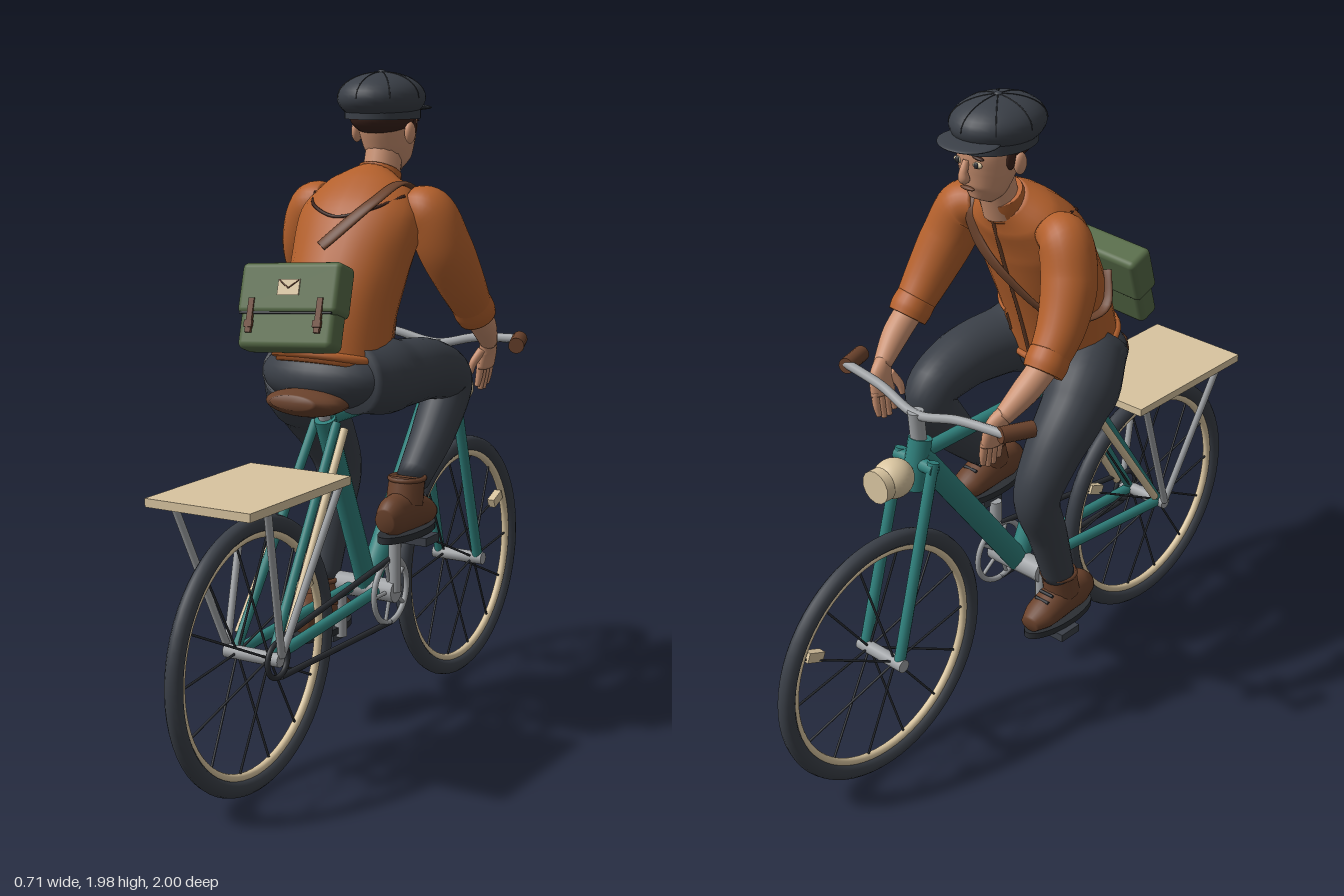
import * as THREE from 'three';
import { RoundedBoxGeometry } from 'three/addons/geometries/RoundedBoxGeometry.js';

const V = (x, y, z) => new THREE.Vector3(x, y, z);
const mat = (name, color) => Object.assign(new THREE.MeshStandardMaterial({ color }), { name });
const rad = Math.PI / 180;

// Surface of an elliptical tube through [x, y, z, radiusX, radiusDepth] rows
function tubeSurface(rows) {
  const path = new THREE.CatmullRomCurve3(rows.map(r => V(r[0], r[1], r[2])));
  const size = new THREE.CatmullRomCurve3(rows.map(r => V(r[3], r[4] ?? r[3], 0)));
  return (t, angle, off = 0) => {
    const T = path.getTangent(t), c = path.getPoint(t), s = size.getPoint(t);
    const S = V(1, 0, 0).addScaledVector(T, -T.x).normalize();
    const U = T.clone().cross(S);
    return c.addScaledVector(S, Math.cos(angle) * (s.x + off)).addScaledVector(U, Math.sin(angle) * (s.y + off));
  };
}

function sweepGeometry(rows, sides = 24, steps = rows.length * 6) {
  const at = tubeSurface(rows), pos = [], idx = [];
  for (let i = 0; i <= steps; i++)
    for (let j = 0; j < sides; j++) pos.push(...at(i / steps, j / sides * Math.PI * 2).toArray());
  const a = pos.length / 3;
  pos.push(...rows[0].slice(0, 3), ...rows[rows.length - 1].slice(0, 3));
  for (let j = 0; j < sides; j++) {
    const k = (j + 1) % sides, e = steps * sides;
    for (let i = 0; i < steps; i++) {
      const p = i * sides, q = p + sides;
      idx.push(p + j, p + k, q + k, p + j, q + k, q + j);
    }
    idx.push(a, k, j, a + 1, e + j, e + k);
  }
  const g = new THREE.BufferGeometry();
  g.setAttribute('position', new THREE.Float32BufferAttribute(pos, 3));
  g.setIndex(idx);
  g.computeVertexNormals();
  return g;
}

export function createModel() {
  const model = new THREE.Group();
  const charcoal = mat('charcoal', 0x3a3f47), teal = mat('teal', 0x2f807c), cream = mat('cream', 0xd9c5a0),
    metal = mat('metal', 0x9fa2a5), orange = mat('orange', 0xb3602c), green = mat('green', 0x566a47),
    brown = mat('brown', 0x6a422c), skin = mat('skin', 0xc99070), hair = mat('hair', 0x3a221b), black = mat('black', 0x2b2e33);

  const add = (name, geo, m, p = [0, 0, 0], parent = model) => {
    const mesh = new THREE.Mesh(geo, m);
    mesh.name = name;
    mesh.position.set(...p);
    parent.add(mesh);
    return mesh;
  };
  const group = (name, p = [0, 0, 0]) => {
    const g = new THREE.Group();
    g.name = name;
    g.position.set(...p);
    model.add(g);
    return g;
  };
  const rod = (name, a, b, r, m, parent = model, r2 = r) => {
    const A = V(...a), d = V(...b).sub(A);
    const mesh = add(name, new THREE.CylinderGeometry(r2, r, d.length(), 14), m, A.clone().addScaledVector(d, 0.5).toArray(), parent);
    mesh.quaternion.setFromUnitVectors(V(0, 1, 0), d.normalize());
    return mesh;
  };
  const box = (name, s, m, p, parent = model) => add(name, new THREE.BoxGeometry(...s), m, p, parent);
  const blob = (name, s, m, p, parent = model) => {
    const mesh = add(name, new THREE.SphereGeometry(1, 28, 20), m, p, parent);
    mesh.scale.set(...s);
    return mesh;
  };
  const ring = (name, R, r, m, p, parent = model) => {
    const mesh = add(name, new THREE.TorusGeometry(R, r, 12, 64), m, p, parent);
    mesh.rotation.y = Math.PI / 2;
    return mesh;
  };
  const sweep = (name, rows, m, parent = model) => add(name, sweepGeometry(rows), m, [0, 0, 0], parent);
  const cord = (name, pts, r, m, parent = model) =>
    add(name, new THREE.TubeGeometry(new THREE.CatmullRomCurve3(pts), 40, r, 8), m, [0, 0, 0], parent);

  // Wheels
  for (const [name, z, side] of [['rearWheel', 0.605, -1], ['frontWheel', -0.605, -1]]) {
    const w = group(name, [0, 0.4, z]);
    ring('tyre', 0.37, 0.025, charcoal, [0, 0, 0], w);
    ring('rim', 0.34, 0.012, cream, [0, 0, 0], w);
    rod('axle', [-0.09, 0, 0], [0.09, 0, 0], 0.02, metal, w);
    for (let i = 0; i < 14; i++) {
      const a = i / 14 * Math.PI * 2, c = Math.cos(a), s = Math.sin(a);
      rod('spoke', [i % 2 ? 0.05 : -0.05, s * 0.02, c * 0.02], [0, s * 0.335, c * 0.335], 0.0035, black, w);
    }
    box('reflector', [0.025, 0.03, 0.06], cream, [0, 0.135, side * 0.26], w).rotation.x = 0.4;
  }

  // Frame
  const bottom = [0, 0.44, -0.015], seatTop = [0, 1, 0.225], head = [0, 1.0, -0.435];
  rod('seatTube', bottom, seatTop, 0.032, teal);
  rod('downTube', bottom, head, 0.036, teal);
  rod('topTube', seatTop, head, 0.022, teal);
  rod('headTube', [0, 0.9, -0.46], [0, 1.05, -0.425], 0.035, teal);
  rod('seatPost', seatTop, [0, 1.05, 0.24], 0.018, metal);
  rod('bottomBracket', [-0.1, 0.44, -0.015], [0.1, 0.44, -0.015], 0.035, metal);
  rod('forkCrown', [-0.075, 0.98, -0.445], [0.075, 0.98, -0.445], 0.02, teal);
  for (const s of [-1, 1]) {
    rod('forkBlade', [s * 0.065, 1, -0.44], [s * 0.07, 0.4, -0.605], 0.017, teal);
    rod('seatStay', [s * 0.035, 0.99, 0.22], [s * 0.06, 0.4, 0.605], 0.014, teal);
    rod('creamStay', [s * 0.05, 0.97, 0.2], [s * 0.08, 0.44, 0.56], 0.012, cream);
    rod('chainStay', [s * 0.045, 0.44, 0], [s * 0.06, 0.4, 0.605], 0.017, teal);
    for (const z of [0.4, 0.76]) rod('rackStrut', [s * 0.155, 0.86, z], [s * 0.09, 0.41, 0.6], 0.011, metal);
    // Crank and pedal, right side up and left side down
    const y = s > 0 ? 0.615 : 0.27;
    rod('crank', [s * 0.095, 0.44, -0.015], [s * 0.095, y, -0.015], 0.019, metal);
    box('pedal', [0.12, 0.025, 0.08], charcoal, [s * 0.16, y, -0.02]);
  }
  box('rackDeck', [0.335, 0.024, 0.5], cream, [0, 0.866, 0.61]);

  // Drive
  ring('chainring', 0.098, 0.009, metal, [0.08, 0.44, -0.015]);
  for (let i = 0; i < 5; i++) {
    const a = i * 72 * rad;
    rod('chainringArm', [0.08, 0.44, -0.015], [0.08, 0.44 + Math.sin(a) * 0.095, -0.015 + Math.cos(a) * 0.095], 0.006, metal);
  }
  ring('sprocket', 0.05, 0.008, black, [0.08, 0.4, 0.605]);
  rod('upperChain', [0.08, 0.455, 0.59], [0.08, 0.54, -0.015], 0.009, black);
  rod('lowerChain', [0.08, 0.347, 0.59], [0.08, 0.342, -0.015], 0.009, black);

  // Saddle, handlebar and lamp
  sweep('saddle', [[0, 1.075, 0.405, 0.07, 0.02], [0, 1.065, 0.34, 0.12, 0.04], [0, 1.06, 0.24, 0.1, 0.04],
    [0, 1.06, 0.12, 0.045, 0.03], [0, 1.055, 0.05, 0.025, 0.018]], brown);
  rod('stem', [0, 1.03, -0.43], [0, 1.14, -0.44], 0.024, metal);
  cord('handlebar', [V(-0.31, 1.17, -0.41), V(-0.15, 1.16, -0.425), V(0, 1.13, -0.44), V(0.15, 1.16, -0.425), V(0.31, 1.17, -0.41)], 0.014, metal);
  for (const s of [-1, 1]) rod('grip', [s * 0.3, 1.168, -0.42], [s * 0.335, 1.162, -0.325], 0.024, brown);
  blob('lamp', [0.058, 0.058, 0.062], cream, [0, 0.965, -0.535]);
  rod('lampRim', [0, 0.965, -0.575], [0, 0.965, -0.605], 0.05, cream);
  rod('lampBracket', [0, 0.965, -0.44], [0, 0.965, -0.5], 0.016, metal);

  // Trousers and shoes
  blob('hips', [0.215, 0.1, 0.15], charcoal, [0, 1.125, 0.19]);
  sweep('rightLeg', [[0.1, 1.125, 0.24, 0.1], [0.145, 1.12, 0.07, 0.1], [0.16, 1.11, -0.1, 0.09],
    [0.157, 1.055, -0.225, 0.075], [0.15, 0.93, -0.165, 0.068], [0.145, 0.785, -0.03, 0.05]], charcoal);
  sweep('leftLeg', [[-0.1, 1.14, 0.22, 0.1], [-0.155, 1.01, 0.06, 0.1], [-0.16, 0.89, -0.05, 0.084],
    [-0.155, 0.77, -0.105, 0.07], [-0.153, 0.62, -0.055, 0.06], [-0.15, 0.45, 0.0, 0.05]], charcoal);
  for (const [s, y] of [[1, 0.635], [-1, 0.287]]) {
    const shoe = group(s > 0 ? 'rightShoe' : 'leftShoe', [s * 0.147, y, 0.005]);
    const sole = add('sole', new THREE.CylinderGeometry(1, 1, 0.02, 28), black, [0, 0.004, 0], shoe);
    sole.scale.set(0.055, 1, 0.145);
    sweep('upper', [[0, 0.06, 0.135, 0.03, 0.035], [0, 0.067, 0.09, 0.047, 0.06], [0, 0.068, 0.01, 0.052, 0.062],
      [0, 0.05, -0.08, 0.052, 0.045], [0, 0.038, -0.135, 0.03, 0.025]], brown, shoe);
    rod('shoeCollar', [0, 0.09, 0.015], [0, 0.168, 0.0], 0.056, brown, shoe, 0.054);
    const edge = add('collarEdge', new THREE.TorusGeometry(0.051, 0.008, 8, 28), brown, [0, 0.165, 0], shoe);
    edge.rotation.x = Math.PI / 2;
    for (let i = 0; i < 3; i++) rod('lace', [-0.025, 0.125 - i * 0.014, -0.035 - i * 0.02], [0.025, 0.125 - i * 0.014, -0.035 - i * 0.02], 0.005, black, shoe);
  }

  // Jacket with seams, zip and pockets
  const torso = [[0, 1.14, 0.19, 0.172, 0.15], [0, 1.28, 0.15, 0.168, 0.15], [0, 1.42, 0.09, 0.18, 0.14],
    [0, 1.54, 0.03, 0.195, 0.125], [0, 1.625, -0.035, 0.15, 0.095], [0, 1.67, -0.075, 0.068, 0.065]];
  sweep('jacket', torso, orange);
  const on = tubeSurface(torso);
  const onJacket = (list, off) => list.map(([t, deg]) => on(t, deg * rad, off));
  const hem = [];
  for (let d = 0; d <= 360; d += 20) hem.push([0.035, d]);
  cord('hemBand', onJacket(hem, 0), 0.012, orange);
  cord('yokeSeam', onJacket([[0.72, -150], [0.6, -120], [0.55, -90], [0.6, -60], [0.72, -30]], 0), 0.005, hair);
  cord('zip', onJacket([[0.02, 90], [0.3, 90], [0.6, 90], [0.95, 90]], 0), 0.006, brown);
  for (const m of [0, 1]) {
    const flip = list => list.map(([t, d]) => [t, m ? 180 - d : d]);
    cord('pocketFlap', onJacket(flip([[0.25, 35], [0.25, 50], [0.25, 65]]), 0.001), 0.007, orange);
    cord('pocketSeam', onJacket(flip([[0.24, 35], [0.13, 37], [0.13, 63], [0.24, 65]]), 0), 0.004, brown);
  }
  sweep('collar', [[0, 1.64, -0.06, 0.075, 0.07], [0, 1.665, -0.075, 0.07, 0.066], [0, 1.69, -0.088, 0.065, 0.062]], orange);

  // Arms and hands
  for (const s of [-1, 1]) {
    const m = rows => rows.map(([x, ...r]) => [s * x, ...r]);
    sweep('sleeve', m([[0.13, 1.6, -0.025, 0.055], [0.19, 1.575, -0.035, 0.078], [0.23, 1.48, -0.06, 0.08],
      [0.255, 1.37, -0.12, 0.07], [0.262, 1.275, -0.195, 0.055]]), orange);
    sweep('cuff', m([[0.259, 1.31, -0.168, 0.06], [0.262, 1.285, -0.188, 0.062], [0.263, 1.262, -0.206, 0.058]]), orange);
    sweep('forearm', m([[0.262, 1.29, -0.18, 0.042], [0.255, 1.23, -0.26, 0.04], [0.235, 1.165, -0.34, 0.027]]), skin);
    sweep('palm', m([[0.238, 1.18, -0.33, 0.024], [0.225, 1.14, -0.355, 0.024, 0.04], [0.215, 1.085, -0.36, 0.02, 0.044]]), skin);
    for (let i = 0; i < 4; i++) {
      const z = -0.328 - i * 0.021;
      sweep('finger', m([[0.215, 1.1, z, 0.012], [0.21, 1.06, z, 0.011], [0.205, i % 3 ? 1.015 : 1.027, z + 0.004, 0.008]]), skin);
    }
    sweep('thumb', m([[0.22, 1.14, -0.325, 0.014], [0.2, 1.1, -0.305, 0.012], [0.195, 1.07, -0.3, 0.008]]), skin);
  }

  // Head and face
  rod('neck', [0, 1.63, -0.08], [0, 1.77, -0.12], 0.056, skin);
  const face = group('head');
  sweep('face', [[0, 1.69, -0.168, 0.028, 0.034], [0, 1.72, -0.155, 0.06, 0.062], [0, 1.77, -0.14, 0.077, 0.083],
    [0, 1.83, -0.13, 0.086, 0.095], [0, 1.9, -0.12, 0.07, 0.08]], skin, face);
  sweep('nose', [[0, 1.82, -0.222, 0.009], [0, 1.787, -0.234, 0.013], [0, 1.77, -0.232, 0.016], [0, 1.762, -0.22, 0.01]], skin, face);
  blob('mouth', [0.026, 0.006, 0.008], brown, [0, 1.738, -0.219], face);
  blob('hairBack', [0.096, 0.06, 0.1], hair, [0, 1.847, -0.1], face);
  for (const s of [-1, 1]) {
    blob('eye', [0.017, 0.009, 0.007], cream, [s * 0.035, 1.812, -0.216], face);
    blob('pupil', [0.008, 0.009, 0.005], black, [s * 0.035, 1.812, -0.221], face);
    blob('eyebrow', [0.022, 0.005, 0.008], hair, [s * 0.037, 1.833, -0.216], face).rotation.z = -s * 0.12;
    blob('ear', [0.014, 0.032, 0.022], skin, [s * 0.09, 1.8, -0.105], face);
    blob('sideburn', [0.008, 0.03, 0.018], hair, [s * 0.083, 1.818, -0.135], face);
  }

  // Flat cap
  const cap = group('cap', [0, 1.9, -0.095]);
  blob('crown', [0.124, 0.073, 0.147], charcoal, [0, 0, 0], cap);
  const band = add('capBand', new THREE.CylinderGeometry(1, 1, 0.045, 32), charcoal, [0, -0.038, -0.008], cap);
  band.scale.set(0.106, 1, 0.128);
  blob('brim', [0.095, 0.011, 0.08], charcoal, [0, -0.03, -0.115], cap).rotation.x = -0.06;
  blob('button', [0.012, 0.007, 0.012], charcoal, [0, 0.073, 0], cap);
  for (let i = 0; i < 4; i++) {
    const pts = [];
    for (let d = 0; d <= 180; d += 15) {
      const c = Math.cos(d * rad), a = i * 45 * rad;
      pts.push(V(c * Math.cos(a) * 0.124, Math.sin(d * rad) * 0.073, c * Math.sin(a) * 0.147));
    }
    cord('capSeam', pts, 0.0017, black, cap);
  }

  // Shoulder bag
  sweep('bagStrap', onJacket([[0.42, -95], [0.62, -62], [0.8, -35], [0.84, 20], [0.7, 58], [0.5, 90], [0.28, 135], [0.22, 185], [0.3, 220]], 0.008)
    .map(p => [p.x, p.y, p.z, 0.02, 0.007]), brown);
  const bag = group('bag', [-0.045, 1.325, 0.315]);
  bag.rotation.set(-0.36, 0, 0.07);
  add('bagBody', new RoundedBoxGeometry(0.31, 0.235, 0.075, 4, 0.02), green, [0, -0.005, 0], bag);
  add('bagFlap', new RoundedBoxGeometry(0.325, 0.15, 0.092, 4, 0.018), green, [0, 0.05, 0.002], bag);
  box('flapTrim', [0.3, 0.006, 0.006], black, [0, -0.022, 0.045], bag);
  box('envelope', [0.07, 0.046, 0.006], cream, [0.005, 0.05, 0.049], bag);
  for (const s of [-1, 1]) {
    rod('envelopeFold', [0.005 + s * 0.032, 0.07, 0.052], [0.005, 0.047, 0.052], 0.002, brown, bag);
    box('bagBuckleStrap', [0.018, 0.1, 0.009], brown, [s * 0.112, -0.03, 0.048], bag);
    box('bagBuckle', [0.026, 0.02, 0.009], brown, [s * 0.112, -0.055, 0.051], bag);
  }
  return model;
}
